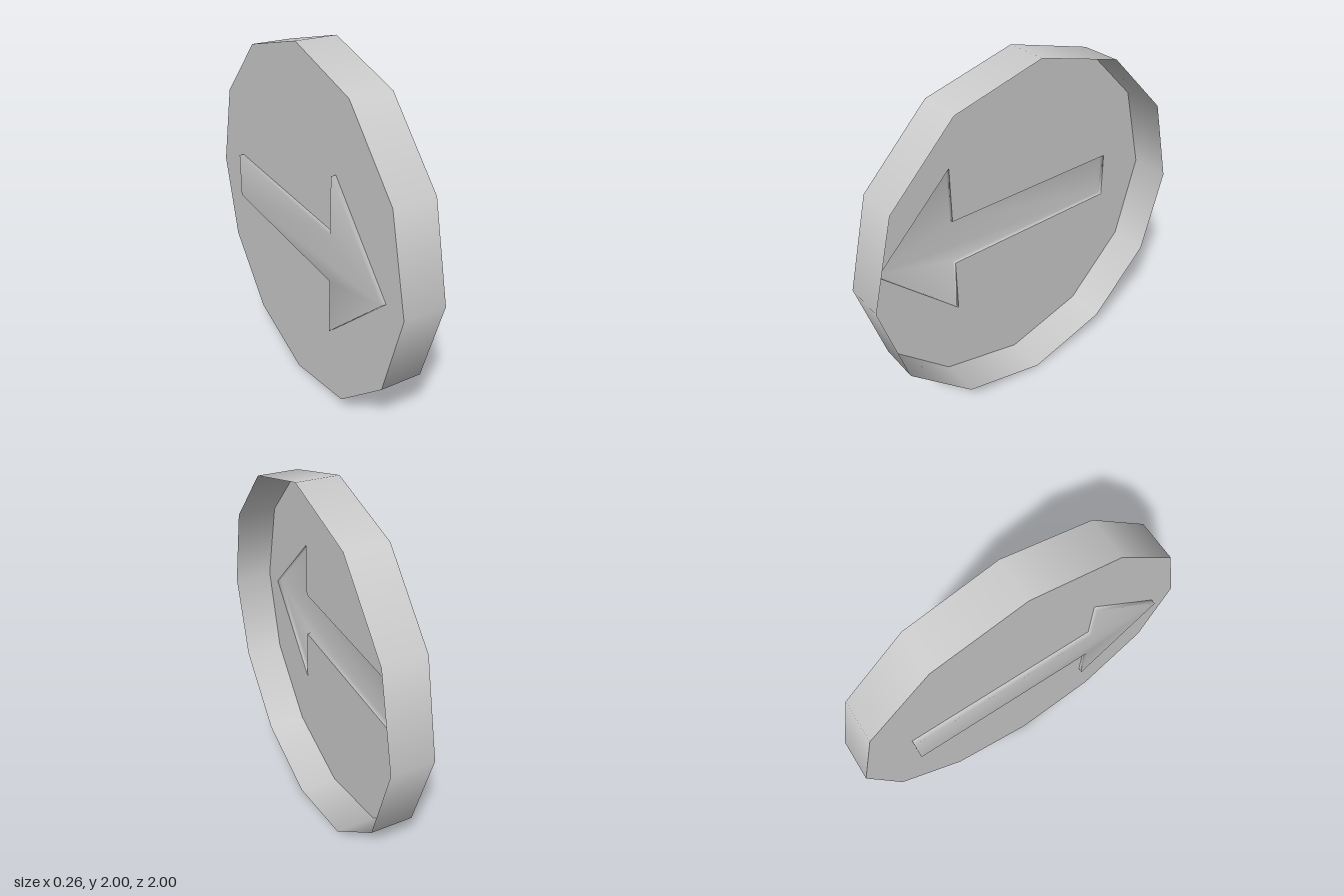
import * as THREE from 'three';

const FLOOR = 0.103, RIM_END = -0.127, ARROW_TOP = 0.13;

// Arrow outline, counter-clockwise, relative to the disc centre
const arrowPoints = [
  [0.86, 0.005], [0.4, 0.46], [0.4, 0.14], [-0.7, 0.14],
  [-0.7, -0.132], [0.4, -0.132], [0.4, -0.452],
].map(([x, y]) => new THREE.Vector2(x, y));

// Hollow arrow: a cap and side walls sharing smooth normals, open at its base
function arrowGeometry() {
  const n = arrowPoints.length;
  const positions = [];
  for (const z of [ARROW_TOP, FLOOR]) {
    for (const p of arrowPoints) positions.push(p.x, p.y, z);
  }
  const index = THREE.ShapeUtils.triangulateShape(arrowPoints, []).flat();
  for (let i = 0; i < n; i++) {
    const j = (i + 1) % n;
    index.push(i + n, j + n, j, i + n, j, i);
  }
  const geometry = new THREE.BufferGeometry();
  geometry.setAttribute('position', new THREE.Float32BufferAttribute(positions, 3));
  geometry.setIndex(index);
  geometry.computeVertexNormals();
  return geometry;
}

export function createModel() {
  const grey = new THREE.MeshStandardMaterial({ color: 0xcccccc, side: THREE.DoubleSide });
  grey.name = 'light grey';

  const model = new THREE.Group();
  model.name = 'arrowButton';
  const dial = new THREE.Group();
  dial.name = 'dial';
  model.add(dial);

  const add = (name, geometry) => {
    const mesh = new THREE.Mesh(geometry, grey);
    mesh.name = name;
    dial.add(mesh);
  };

  // Twelve-sided rim, open on one side
  const rim = new THREE.CylinderGeometry(1, 1, FLOOR - RIM_END, 12, 1, true);
  rim.rotateX(Math.PI / 2).translate(0, 0, (FLOOR + RIM_END) / 2);
  add('rim', rim);

  // Face plate with an arrow-shaped opening
  const outline = [];
  for (let i = 0; i < 12; i++) {
    const a = (i * Math.PI) / 6;
    outline.push(new THREE.Vector2(Math.cos(a), Math.sin(a)));
  }
  const plate = new THREE.Shape(outline);
  plate.holes.push(new THREE.Path(arrowPoints));
  add('facePlate', new THREE.ShapeGeometry(plate).translate(0, 0, FLOOR));

  // Raised arrow, hollow from behind
  add('arrow', arrowGeometry());

  // Stand the dial upright with the arrow side facing -x and pointing to +z
  dial.rotation.y = -Math.PI / 2;
  dial.position.y = 1;
  return model;
}
